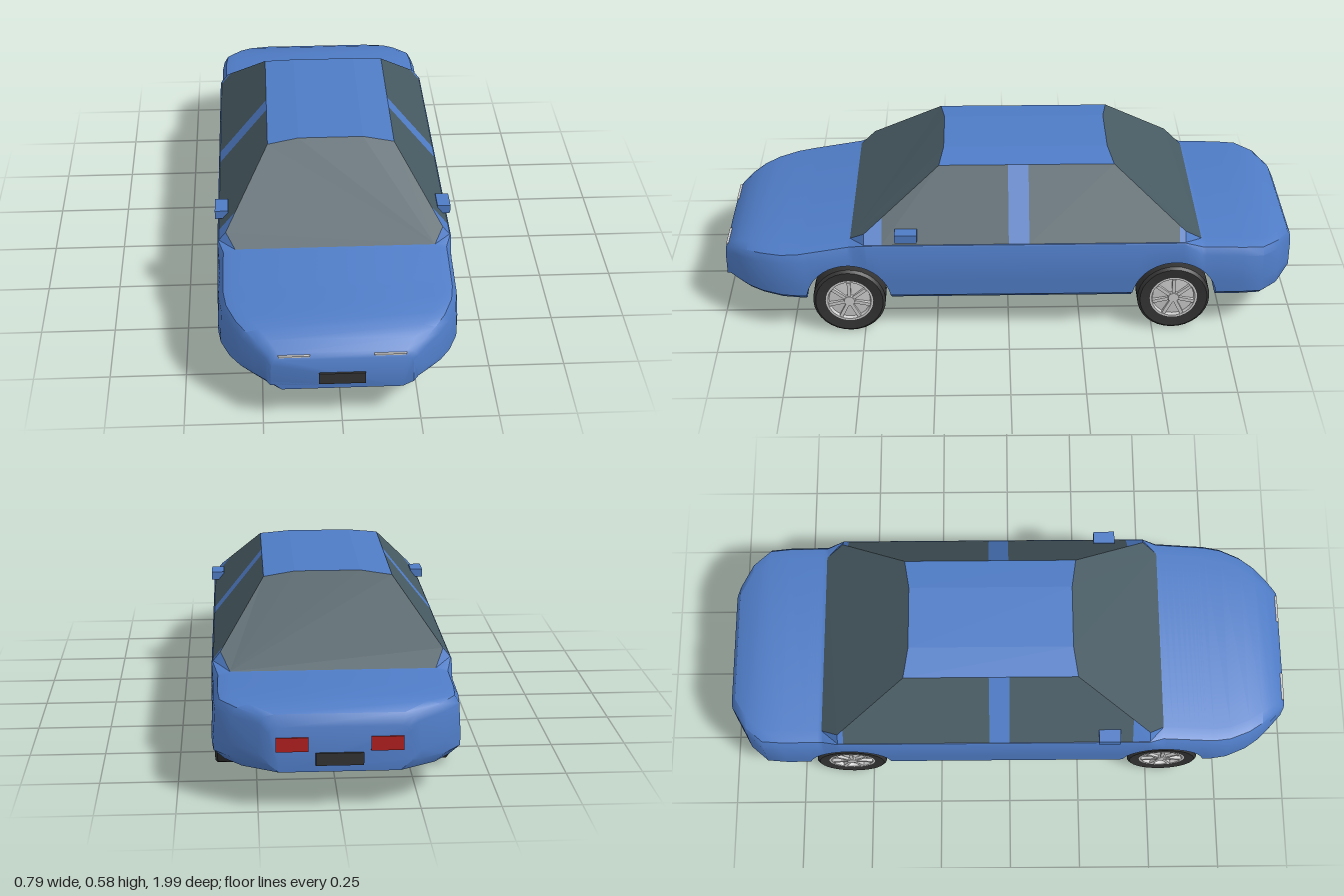
import * as THREE from 'three';
import { toCreasedNormals } from 'three/addons/utils/BufferGeometryUtils.js';

const mat = (name, color, side = THREE.FrontSide) => {
  const m = new THREE.MeshStandardMaterial({ color, side });
  m.name = name;
  return m;
};

const WHEEL_Y = 0.125, ARCH_R = 0.146, AXLES = [0.55, -0.57];

// Body stations: z, half width, deck height, shoulder rounding
const STATIONS = [
  [0.988, 0.225, 0.24, 0.03], [0.975, 0.24, 0.257, 0.04], [0.94, 0.278, 0.28, 0.05],
  [0.9, 0.318, 0.296, 0.06], [0.85, 0.352, 0.305, 0.06], [0.78, 0.381, 0.313, 0.06],
  [0.72, 0.39, 0.32, 0.06], [0.54, 0.39, 0.35, 0.06], [0.49, 0.39, 0.355, 0.012],
  [-0.6, 0.39, 0.355, 0.012], [-0.66, 0.39, 0.337, 0.06], [-0.8, 0.39, 0.333, 0.06],
  [-0.87, 0.384, 0.33, 0.06], [-0.93, 0.332, 0.325, 0.06], [-0.975, 0.25, 0.307, 0.05],
  [-0.992, 0.22, 0.27, 0.03],
];

function stationAt(z) {
  let i = 0;
  while (i < STATIONS.length - 2 && STATIONS[i + 1][0] > z) i++;
  const a = STATIONS[i], b = STATIONS[i + 1], t = (a[0] - z) / (a[0] - b[0]);
  return a.map((v, k) => v + (b[k] - v) * t);
}

// Lofted lower body; the wheel tunnels lift the lower edge of each section
function bodyGeometry() {
  const zs = STATIONS.map(s => s[0]);
  for (const c of AXLES)
    for (let i = 0; i <= 20; i++) zs.push(c + ARCH_R * Math.cos(i * Math.PI / 20));
  zs.sort((a, b) => b - a);
  const pos = [], index = [];
  let n = 0;
  for (const z of zs) {
    const [, w, top, s] = stationAt(z);
    let floor = 0.125;
    for (const c of AXLES) {
      const d = Math.abs(z - c);
      if (d < ARCH_R) floor = Math.max(floor, 0.13 + Math.sqrt(ARCH_R ** 2 - d * d));
    }
    const half = [
      [w - 0.035, 0.125], [w, 0.155], [w, top * 0.6], [w - 0.1 * s, top - 0.6 * s],
      [w - 0.35 * s, top - 0.17 * s], [w - s, top],
    ].map(([x, y]) => [x, Math.max(y, floor)]);
    const ring = [...half, ...half.slice().reverse().map(([x, y]) => [-x, y])];
    n = ring.length;
    ring.forEach(([x, y]) => pos.push(x, y, z));
  }
  for (let i = 0; i < zs.length - 1; i++)
    for (let k = 0; k < n; k++) {
      const a = i * n + k, b = i * n + (k + 1) % n, d = a + n, c = b + n;
      index.push(a, d, b, d, c, b);
    }
  const last = (zs.length - 1) * n;
  for (let k = 1; k < n - 1; k++) {
    index.push(0, k, k + 1);
    index.push(last, last + k + 1, last + k);
  }
  const g = new THREE.BufferGeometry();
  g.setAttribute('position', new THREE.Float32BufferAttribute(pos, 3));
  g.setIndex(index);
  return toCreasedNormals(g, 0.7);
}

// Flat convex panel from its corners
function panel(points) {
  const pos = [];
  for (let i = 1; i < points.length - 1; i++) pos.push(...points[0], ...points[i], ...points[i + 1]);
  const g = new THREE.BufferGeometry();
  g.setAttribute('position', new THREE.Float32BufferAttribute(pos, 3));
  g.computeVertexNormals();
  return g;
}

export function createModel() {
  const car = new THREE.Group();
  car.name = 'car';
  const paint = mat('body blue', 0x4f7cc6);
  const panelPaint = mat('body blue panel', 0x4f7cc6, THREE.DoubleSide);
  const glass = mat('window glass', 0x475a62, THREE.DoubleSide);
  const dark = mat('tyre black', 0x333333);
  const metal = mat('wheel silver', 0xcccccc);
  const red = mat('tail light red', 0xb32020);

  const add = (name, geometry, material, parent = car) => {
    const m = new THREE.Mesh(geometry, material);
    m.name = name;
    parent.add(m);
    return m;
  };
  const box = (name, material, w, h, d, x, y, z) =>
    add(name, new THREE.BoxGeometry(w, h, d), material).position.set(x, y, z);

  add('body', bodyGeometry(), paint);

  // Cabin: slanted screens, sides and roof
  const BELT = 0.355, KNEE = 0.385, EAVE = 0.567;
  const sideX = y => 0.215 + (EAVE - y) * 0.797;
  const frontZ = y => 0.49 - Math.max(0, y - KNEE) * 1.4;
  const rearZ = y => -0.6 + Math.max(0, y - KNEE) * 1.308;
  const yOnFront = z => KNEE + (0.49 - z) / 1.4;
  const yOnRear = z => KNEE + (z + 0.6) / 1.308;

  const screen = (name, baseY, baseZ, edgeZ, roofZ) => {
    const half = [[0.33, baseY, baseZ], [sideX(KNEE), KNEE, edgeZ(KNEE)],
      [0.215, EAVE, edgeZ(EAVE)], [0.11, 0.58, roofZ]];
    const other = half.slice().reverse().map(([x, y, z]) => [-x, y, z]);
    add(name, panel([...half, ...other]), glass);
  };
  screen('windshield', 0.35, 0.54, frontZ, 0.22);
  screen('rearWindow', 0.337, -0.66, rearZ, -0.345);

  const roofRow = [[0.215, EAVE], [0.11, 0.58], [-0.11, 0.58], [-0.215, EAVE]];
  for (let i = 0; i < 3; i++) {
    const [[x0, y0], [x1, y1]] = [roofRow[i], roofRow[i + 1]];
    const zf = y => (y > 0.57 ? 0.22 : frontZ(EAVE)), zr = y => (y > 0.57 ? -0.345 : rearZ(EAVE));
    add('roof', panel([[x0, y0, zf(y0)], [x0, y0, zr(y0)], [x1, y1, zr(y1)], [x1, y1, zf(y1)]]), panelPaint);
  }

  for (const s of [1, -1]) {
    const side = s > 0 ? 'left' : 'right';
    const p = (z, y) => [s * sideX(y), y, z];
    const sidePanel = (name, material, pts) => add(side + name, panel(pts.map(q => p(...q))), material);
    const F = 0.43, R = -0.58;
    sidePanel('FrontPillarBase', panelPaint, [[0.49, BELT], [F, BELT], [F, yOnFront(F)], [0.49, KNEE]]);
    sidePanel('FrontWindow', glass, [[F, BELT], [0, BELT], [0, EAVE], [frontZ(EAVE), EAVE], [F, yOnFront(F)]]);
    sidePanel('DoorPillar', panelPaint, [[0, BELT], [-0.07, BELT], [-0.07, EAVE], [0, EAVE]]);
    sidePanel('BackWindow', glass, [[-0.07, BELT], [R, BELT], [R, yOnRear(R)], [rearZ(EAVE), EAVE], [-0.07, EAVE]]);
    sidePanel('RearPillarBase', panelPaint, [[R, BELT], [-0.6, BELT], [-0.6, KNEE], [R, yOnRear(R)]]);
    add(side + 'WindshieldCorner', panel([[s * 0.33, 0.35, 0.54], p(0.49, BELT), p(0.49, KNEE)]), panelPaint);
    add(side + 'RearWindowCorner', panel([[s * 0.33, 0.337, -0.66], p(-0.6, BELT), p(-0.6, KNEE)]), panelPaint);

    // Mirror and lights
    box(side + 'Mirror', paint, 0.044, 0.03, 0.075, s * 0.375, 0.385, 0.348);
    box(side + 'Headlight', metal, 0.1, 0.005, 0.009, s * 0.15, 0.25, 0.982);
    box(side + 'TailLight', red, 0.1, 0.045, 0.008, s * 0.145, 0.215, -0.993);
  }
  box('frontPlate', dark, 0.147, 0.04, 0.009, 0, 0.167, 0.9905);
  box('rearPlate', dark, 0.147, 0.04, 0.008, 0, 0.167, -0.995);

  // Wheels: lathed tyre and rim, raised spokes
  const lathe = pts => toCreasedNormals(
    new THREE.LatheGeometry(pts.map(q => new THREE.Vector2(...q)), 32).rotateZ(-Math.PI / 2), 0.5);
  const tyre = lathe([[0.082, -0.04], [0.116, -0.045], [0.125, -0.037], [0.125, 0.037],
    [0.116, 0.045], [0.082, 0.041], [0.082, -0.04]]);
  const rim = lathe([[0.02, 0], [0.02, -0.036], [0.082, -0.036], [0.082, 0.041], [0.075, 0.041],
    [0.071, 0.03], [0.022, 0.034], [0.018, 0.044], [0, 0.044]]);
  const hub = new THREE.CylinderGeometry(0.021, 0.021, 0.01, 20).rotateZ(Math.PI / 2);
  const spoke = new THREE.BoxGeometry(0.012, 0.06, 0.012).translate(0.036, 0.043, 0);
  for (const z of AXLES)
    for (const s of [1, -1]) {
      const wheel = new THREE.Group();
      wheel.name = (s > 0 ? 'left' : 'right') + (z > 0 ? 'Front' : 'Rear') + 'Wheel';
      wheel.position.set(s * 0.338, WHEEL_Y, z);
      if (s < 0) wheel.rotation.y = Math.PI;
      add('tyre', tyre, dark, wheel);
      add('rim', rim, metal, wheel);
      add('hubBore', hub, dark, wheel).position.x = -0.026;
      for (let i = 0; i < 7; i++) add('spoke', spoke, metal, wheel).rotation.x = i * Math.PI * 2 / 7;
      car.add(wheel);
    }
  return car;
}
